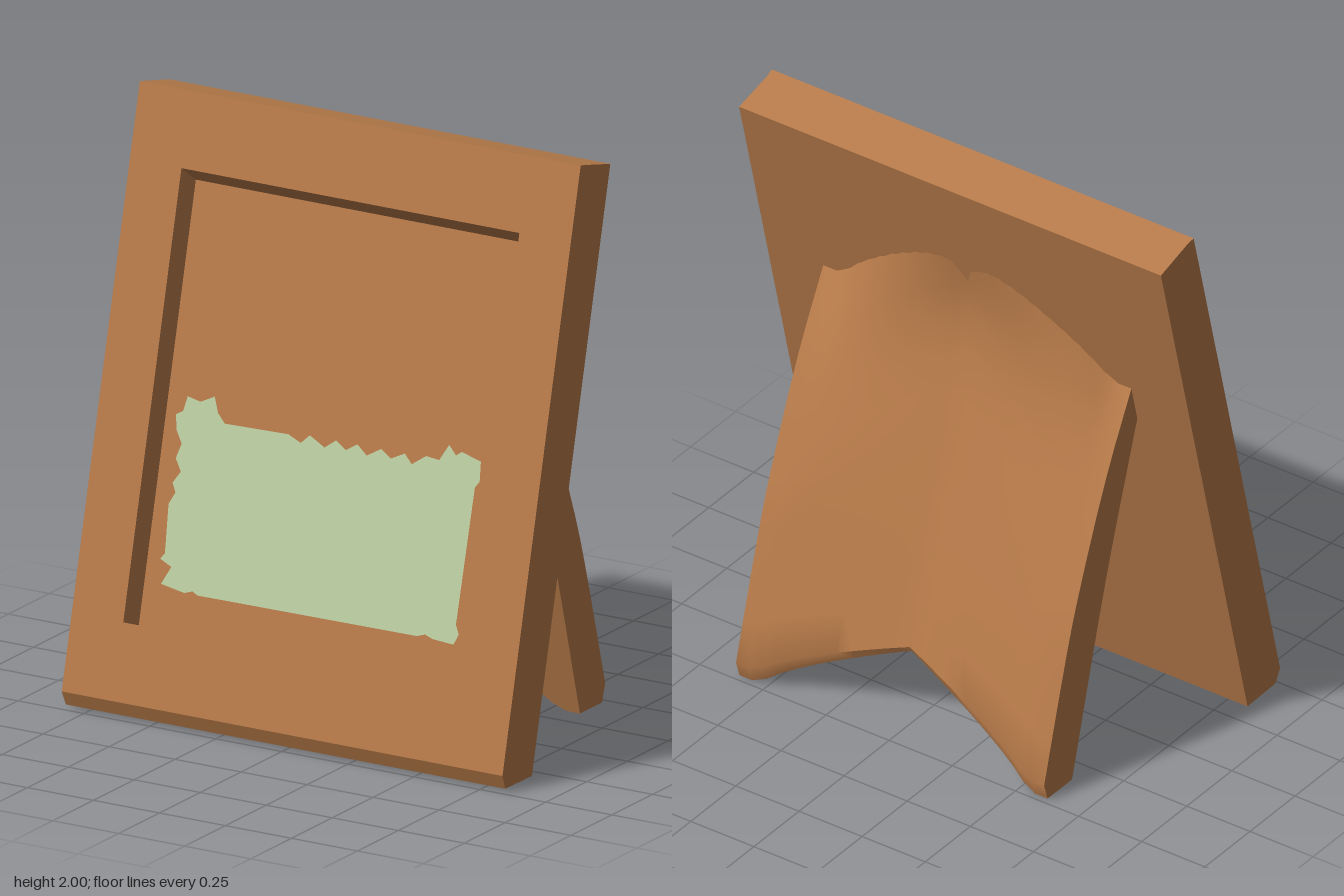
import * as THREE from 'three';
import { toCreasedNormals } from 'three/addons/utils/BufferGeometryUtils.js';

const wood = new THREE.MeshStandardMaterial({ color: 0xb87b4a });
const cardColor = new THREE.MeshStandardMaterial({ color: 0xbdd0a4, side: THREE.DoubleSide });

function named(geometry, material, name) {
  const mesh = new THREE.Mesh(geometry, material);
  mesh.name = name;
  return mesh;
}

function fromTriangles(points) {
  const geo = new THREE.BufferGeometry().setFromPoints(points);
  geo.computeVertexNormals();
  return geo;
}

// Frame: rectangular rings from the back, round the front lip, into the recess
function frameGeometry() {
  const ring = (w, low, high, z) => [
    new THREE.Vector3(-w, low, z), new THREE.Vector3(w, low, z),
    new THREE.Vector3(w, high, z), new THREE.Vector3(-w, high, z),
  ];
  const rings = [
    ring(0.835, 0, 2, 0),
    ring(0.832, -0.038, 2, 0.155),
    ring(0.835, 0.005, 2, 0.187),
    ring(0.64, 0.263, 1.747, 0.187),
    ring(0.625, 0.244, 1.71, 0.112),
  ];
  const tri = [];
  for (let r = 0; r < rings.length - 1; r++) {
    for (let i = 0; i < 4; i++) {
      const j = (i + 1) % 4, a = rings[r], b = rings[r + 1];
      tri.push(a[i], a[j], b[j], a[i], b[j], b[i]);
    }
  }
  const back = rings[0], floor = rings[rings.length - 1];
  tri.push(back[0], back[2], back[1], back[0], back[3], back[2]);
  tri.push(floor[0], floor[1], floor[2], floor[0], floor[2], floor[3]);
  return fromTriangles(tri);
}

// Card with torn edges
function cardGeometry() {
  const outline = [
    [-0.56, 0.40], [-0.47, 0.385], [-0.44, 0.395], [-0.42, 0.385], [0.41, 0.39],
    [0.44, 0.40], [0.47, 0.39], [0.55, 0.385], [0.565, 0.42], [0.55, 0.45],
    [0.555, 0.90], [0.57, 0.92], [0.565, 0.985], [0.49, 1.005], [0.47, 0.99],
    [0.44, 1.02], [0.41, 0.965], [0.36, 0.97], [0.31, 0.935], [0.28, 0.965],
    [0.23, 0.94], [0.19, 0.965], [0.14, 0.935], [0.10, 0.965], [0.06, 0.94],
    [0.02, 0.965], [-0.02, 0.935], [-0.08, 0.965], [-0.11, 0.935], [-0.16, 0.955],
    [-0.40, 0.95], [-0.43, 0.98], [-0.45, 1.03], [-0.50, 1.005], [-0.55, 1.015],
    [-0.56, 0.965], [-0.585, 0.95], [-0.575, 0.90], [-0.55, 0.86], [-0.565, 0.81],
    [-0.54, 0.77], [-0.565, 0.73], [-0.55, 0.70], [-0.57, 0.66], [-0.56, 0.50],
    [-0.575, 0.48], [-0.53, 0.46],
  ];
  return new THREE.ShapeGeometry(new THREE.Shape(outline.map(p => new THREE.Vector2(...p))));
}

// Stand: cross-sections blended between the outer legs and the arched middle
function standGeometry() {
  const curve = pts => new THREE.CatmullRomCurve3(pts.map(([z, y]) => new THREE.Vector3(0, y, z)));
  const N = 12, COLS = 24, HALF = 0.61;
  const legBack = curve([[0, 1.36], [-0.15, 1.07], [-0.31, 0.68], [-0.37, 0.5], [-0.495, 0.06]]);
  const midBack = curve([[-0.105, 1.78], [-0.055, 1.42], [-0.16, 1.02], [-0.27, 0.67], [-0.385, 0.3]]);
  const legFront = curve([[-0.34, 0], [-0.15, 0.68], [0.03, 1.23]]);
  const midFront = curve([[-0.27, 0.28], [-0.13, 0.68], [0.03, 1.23]]);
  const legHeel = new THREE.Vector3(0, 0, -0.475), midHeel = new THREE.Vector3(0, 0.28, -0.375);

  const column = x => {
    const w = Math.pow(Math.max(0, 1 - Math.abs(x) / 0.53), 0.8);
    const mix = (a, b) => a.clone().lerp(b, w).setX(x);
    const ring = [];
    for (let k = 0; k <= N; k++) ring.push(mix(legBack.getPoint(k / N), midBack.getPoint(k / N)));
    ring.push(mix(legHeel, midHeel));
    for (let k = 0; k <= N; k++) ring.push(mix(legFront.getPoint(k / N), midFront.getPoint(k / N)));
    return ring;
  };
  const cols = [];
  for (let i = 0; i <= COLS; i++) cols.push(column(-HALF + (2 * HALF * i) / COLS));

  const tri = [], n = cols[0].length;
  for (let i = 0; i < COLS; i++) {
    for (let j = 0; j < n; j++) {
      const a = cols[i], b = cols[i + 1], m = (j + 1) % n;
      tri.push(a[j], b[j], a[m], b[j], b[m], a[m]);
    }
  }
  // Outer side faces
  const L = cols[0], R = cols[COLS];
  for (let k = 0; k < (n - 1) / 2; k++) {
    const p = k + 1, q = n - 2 - k, s = n - 1 - k;
    tri.push(L[k], L[p], L[q], L[k], L[q], L[s]);
    tri.push(R[k], R[q], R[p], R[k], R[s], R[q]);
  }
  return toCreasedNormals(fromTriangles(tri), 0.7);
}

export function createModel() {
  const model = new THREE.Group();
  model.name = 'photoFrame';

  // Leaning front assembly
  const front = new THREE.Group();
  front.name = 'leaningPanel';
  front.position.set(0, 0.01, 0.318);
  front.rotation.x = -0.2425;
  const card = named(cardGeometry(), cardColor, 'card');
  card.position.z = 0.116;
  front.add(named(frameGeometry(), wood, 'frame'), card);

  model.add(front, named(standGeometry(), wood, 'stand'));
  return model;
}
